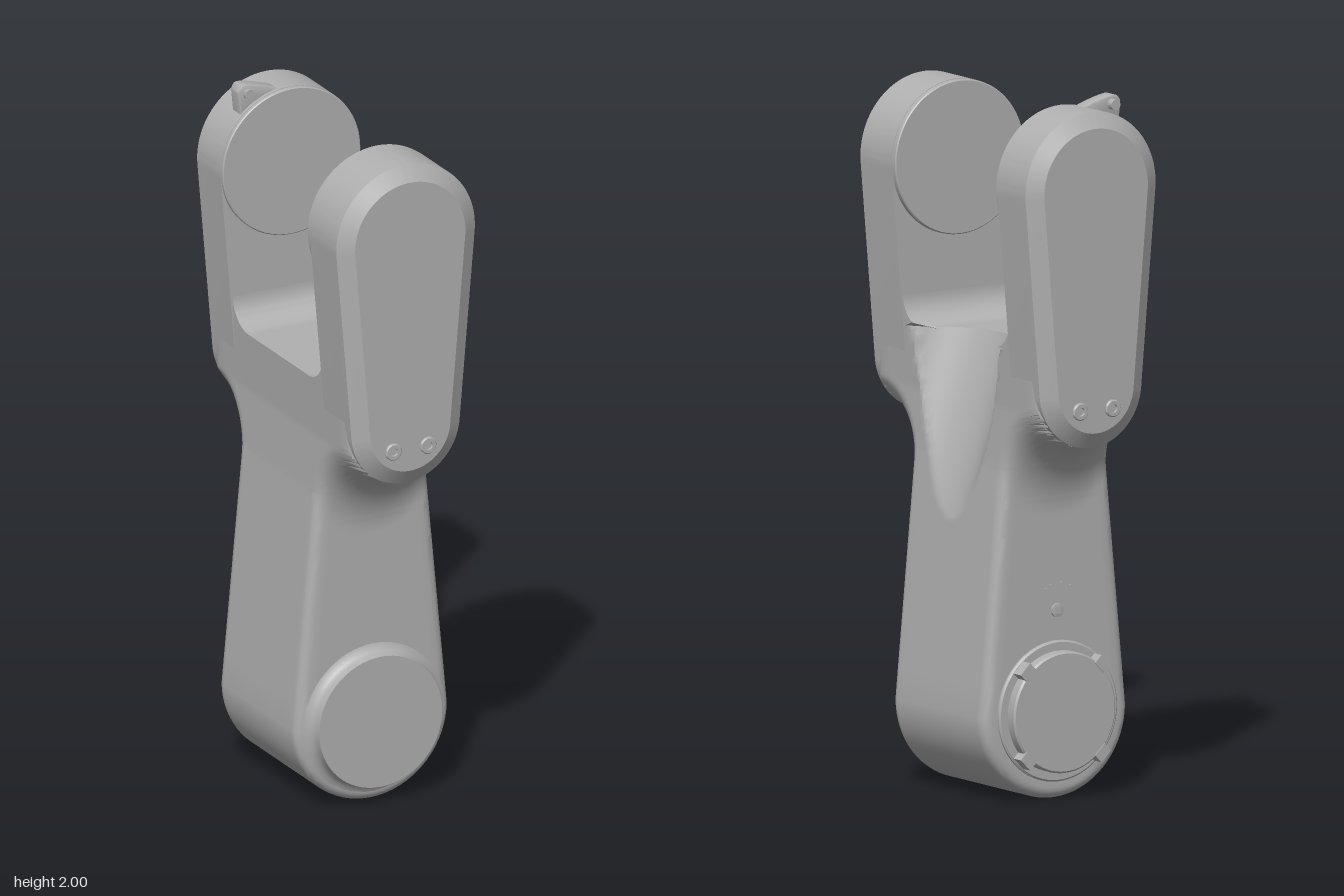
import * as THREE from 'three';
import { toCreasedNormals } from 'three/addons/utils/BufferGeometryUtils.js';

const FLOOR = 1.29, HUB_Y = 0.245, HUB_R = 0.245, EDGE = 0.03;
const lerp = THREE.MathUtils.lerp, clamp = THREE.MathUtils.clamp;
const smooth = (g, a = 0.5) => toCreasedNormals(g, a);

// Half width of the stem at a height
function halfWidth(y) {
  if (y < HUB_Y) return Math.sqrt(Math.max(HUB_R ** 2 - (y - HUB_Y) ** 2, 0));
  if (y < 0.95) return lerp(0.245, 0.178, (y - HUB_Y) / (0.95 - HUB_Y));
  if (y < 1.12) return lerp(0.178, 0.171, (y - 0.95) / 0.17);
  return lerp(0.171, 0.178, (y - 1.12) / 0.17);
}

// Front or back surface of the stem: flat below, flaring under the round arm ends
function flare(x, y, base) {
  const dip = 0.19 - Math.sqrt(0.19 ** 2 - Math.min(Math.abs(x), 0.175) ** 2);
  const t = clamp((y - dip - 0.8) / 0.22, 0, 1);
  return base + (0.405 - base) * (1 - Math.sqrt(1 - t * t));
}

// Inclined round scallop in the left side of the stem
function scallop(z, y) {
  if (Math.abs(z) >= 0.22) return 9;
  return 0.24 + (FLOOR - y) * 0.34 - Math.sqrt(0.22 ** 2 - z * z);
}

// Inset of the front and back faces along their rounded outline
function edgeDrop(x, y, w) {
  const d = y < HUB_Y ? HUB_R - Math.hypot(x, y - HUB_Y) : w - Math.abs(x);
  const e = clamp(EDGE - d, 0, EDGE);
  return EDGE - Math.sqrt(EDGE ** 2 - e * e);
}

// One closed cross-section of the stem
function stemRing(y) {
  const w = halfWidth(y), xs = [], zs = [], ring = [];
  const arc = [0, 0.12, 0.3, 0.55, 1].map(k => k * Math.min(EDGE, w * 0.5));
  const inner = w - arc[4];
  arc.forEach(a => xs.push(-w + a));
  for (let i = 1; i < 16; i++) xs.push(lerp(-inner, inner, i / 16));
  [...arc].reverse().forEach(a => xs.push(w - a));
  const front = x => flare(x, y, 0.22) - edgeDrop(x, y, w);
  const back = x => -flare(x, y, 0.242) + edgeDrop(x, y, w);
  // side samples stay at fixed depths across the scallop
  const mid = 0.185, n = 9;
  for (let i = n - 1; i > 0; i--) zs.push(lerp(mid, front(w), (i / n) ** 2));
  for (let i = 0; i <= 32; i++) zs.push(lerp(mid, -mid, i / 32));
  for (let i = 1; i < n; i++) zs.push(lerp(-mid, back(w), (i / n) ** 2));
  xs.forEach(x => ring.push([x, front(x)]));
  zs.forEach(z => ring.push([Math.min(w, scallop(z, y)), z]));
  [...xs].reverse().forEach(x => ring.push([x, back(x)]));
  [...zs].reverse().forEach(z => ring.push([-w, z]));
  return ring;
}

function stemGeometry() {
  const ys = [], pos = [], idx = [];
  for (let i = 0; i <= 18; i++) ys.push(HUB_Y - HUB_R * Math.cos(i / 18 * Math.PI / 2));
  for (let i = 1; i <= 6; i++) ys.push(lerp(HUB_Y, 0.74, i / 6));
  for (let i = 1; i <= 60; i++) ys.push(lerp(0.74, FLOOR, i / 60));
  const rings = ys.map(stemRing), n = rings[0].length;
  rings.forEach((r, i) => r.forEach(([x, z]) => pos.push(x, ys[i], z)));
  for (let i = 0; i < ys.length - 1; i++) for (let j = 0; j < n; j++) {
    const a = i * n + j, b = i * n + (j + 1) % n;
    idx.push(a, b, b + n, a, b + n, a + n);
  }
  // flat floor of the fork
  const top = rings.at(-1).map(([x, z]) => new THREE.Vector2(x, -z)), o = (ys.length - 1) * n;
  THREE.ShapeUtils.triangulateShape(top, []).forEach(f => idx.push(o + f[0], o + f[1], o + f[2]));
  const g = new THREE.BufferGeometry();
  g.setAttribute('position', new THREE.Float32BufferAttribute(pos, 3));
  g.setIndex(idx);
  return smooth(g, 0.7);
}

// Tapered capsule outline of the arms
function armShape() {
  const y0 = 1.19, r0 = 0.172, y1 = 1.752, r1 = 0.22;
  const a = Math.asin((r1 - r0) / (y1 - y0));
  const s = new THREE.Shape();
  s.absarc(0, y1, r1, -a, Math.PI + a, false);
  s.absarc(0, y0, r0, Math.PI + a, 2 * Math.PI - a, false);
  return s;
}

// Concave fillet between the fork floor and an arm; side is +1 front, -1 back
function filletGeometry(side, wall) {
  const r = 0.085, s = new THREE.Shape();
  s.moveTo(side * (wall + 0.02), FLOOR - 0.01);
  s.lineTo(side * (wall - r), FLOOR - 0.01);
  for (let i = 0; i <= 14; i++) {
    const t = i / 14 * Math.PI / 2;
    s.lineTo(side * (wall - r + r * Math.sin(t)), FLOOR + r - r * Math.cos(t));
  }
  s.lineTo(side * (wall + 0.02), FLOOR + r);
  const g = new THREE.ExtrudeGeometry(s, { depth: 1, bevelEnabled: false });
  const p = g.attributes.position;
  for (let i = 0; i < p.count; i++) {
    const z = p.getX(i), y = p.getY(i), w = halfWidth(y);
    p.setXYZ(i, p.getZ(i) > 0.5 ? -w : Math.min(w, scallop(z, FLOOR)), y, z);
  }
  return smooth(g);
}

// Turned part along z, profile as [radius, height] with rising height
function turned(points, segments = 64) {
  const g = new THREE.LatheGeometry(points.map(p => new THREE.Vector2(...p)), segments);
  return smooth(g.rotateX(Math.PI / 2));
}

export function createModel() {
  const model = new THREE.Group();
  model.name = 'forkedArmLink';
  const grey = new THREE.MeshStandardMaterial({ color: 0xb0b0b0 });
  grey.name = 'satin grey';
  const add = (name, geometry, x = 0, y = 0, z = 0, parent = model) => {
    const m = new THREE.Mesh(geometry, grey);
    m.name = name;
    m.position.set(x, y, z);
    parent.add(m);
    return m;
  };

  add('stem', stemGeometry());

  // Fork arms with chamfered covers, joint pads and cover screws
  for (const [label, side, wall, pad] of [['front', 1, 0.255, 0.237], ['back', -1, 0.272, 0.26]]) {
    const arm = new THREE.Group();
    arm.name = label + 'Arm';
    if (side < 0) arm.rotation.y = Math.PI;
    model.add(arm);
    const body = new THREE.ExtrudeGeometry(armShape(), { depth: 0.39 - wall, bevelEnabled: false, curveSegments: 40 });
    add('armBody', smooth(body), 0, 0, wall, arm);
    const cover = new THREE.ExtrudeGeometry(armShape(), {
      depth: 0.02, bevelThickness: 0.028, bevelSize: 0.045, bevelOffset: -0.045, bevelSegments: 1, curveSegments: 40,
    });
    add('armCover', smooth(cover, 0.3), 0, 0, 0.39, arm);
    const padProfile = [[0.219, -wall - 0.01], [0.219, -pad - 0.003], [0.216, -pad], [0, -pad]];
    add('jointPad', turned(padProfile).rotateX(Math.PI), 0, 1.752, 0, arm);
    for (const x of [-0.055, 0.055]) {
      add('coverScrew', turned([[0.025, 0], [0.025, 0.01], [0.022, 0.013], [0.012, 0.013], [0.011, 0.007], [0, 0.007]], 24),
        x, 1.13, 0.433, arm);
    }
    add(label + 'Fillet', filletGeometry(side, wall));
  }

  // Lower joint: front boss with a filleted foot
  add('frontBoss', turned([[0.224, 0], [0.212, 0.004], [0.202, 0.013], [0.197, 0.025], [0.195, 0.045], [0, 0.045]]), 0, 0.25, 0.219);

  // Lower joint: back cap with flange and four clips
  const cap = new THREE.Group();
  cap.name = 'backCap';
  cap.position.set(0, 0.25, -0.24);
  cap.rotation.y = Math.PI;
  model.add(cap);
  add('capFlange', turned([[0.2, 0], [0.2, 0.008], [0.195, 0.012], [0, 0.0121]]), 0, 0, 0, cap);
  add('capDisc', turned([[0.172, 0.01], [0.172, 0.04], [0.167, 0.045], [0, 0.045]]), 0, 0, 0, cap);
  for (let i = 0; i < 4; i++) {
    const a = Math.PI / 4 + i * Math.PI / 2;
    const clip = add('capClip', new THREE.BoxGeometry(0.03, 0.045, 0.04),
      0.178 * Math.cos(a), 0.178 * Math.sin(a), 0.028, cap);
    clip.rotation.z = a;
  }

  // Small socket and markers above the back cap
  add('backSocket', turned([[0.02, 0], [0.02, 0.008], [0.011, 0.01], [0.01, 0.0101], [0, 0.0102]], 20).rotateX(Math.PI), 0, 0.535, -0.24);
  for (const [x, y] of [[-0.04, 0.6], [-0.01, 0.61], [0.025, 0.605], [0.04, 0.595]]) {
    add('backMarker', new THREE.BoxGeometry(0.014, 0.008, 0.006), x, y, -0.242);
  }

  // Latch lug and its pin on top of the back arm
  const lug = new THREE.Shape();
  lug.moveTo(-0.15, 1.9);
  lug.lineTo(-0.158, 1.975);
  lug.quadraticCurveTo(-0.152, 2.0, -0.125, 1.995);
  lug.quadraticCurveTo(-0.075, 1.985, -0.032, 1.968);
  lug.lineTo(-0.05, 1.93);
  add('latchLug', smooth(new THREE.ExtrudeGeometry(lug, {
    depth: 0.037, bevelThickness: 0.005, bevelSize: 0.004, bevelOffset: -0.004, bevelSegments: 2, curveSegments: 8,
  })), 0, 0, -0.324);
  add('latchPin', smooth(new THREE.CylinderGeometry(0.015, 0.015, 0.078, 20).rotateX(Math.PI / 2)), -0.127, 1.97, -0.311);

  return model;
}
